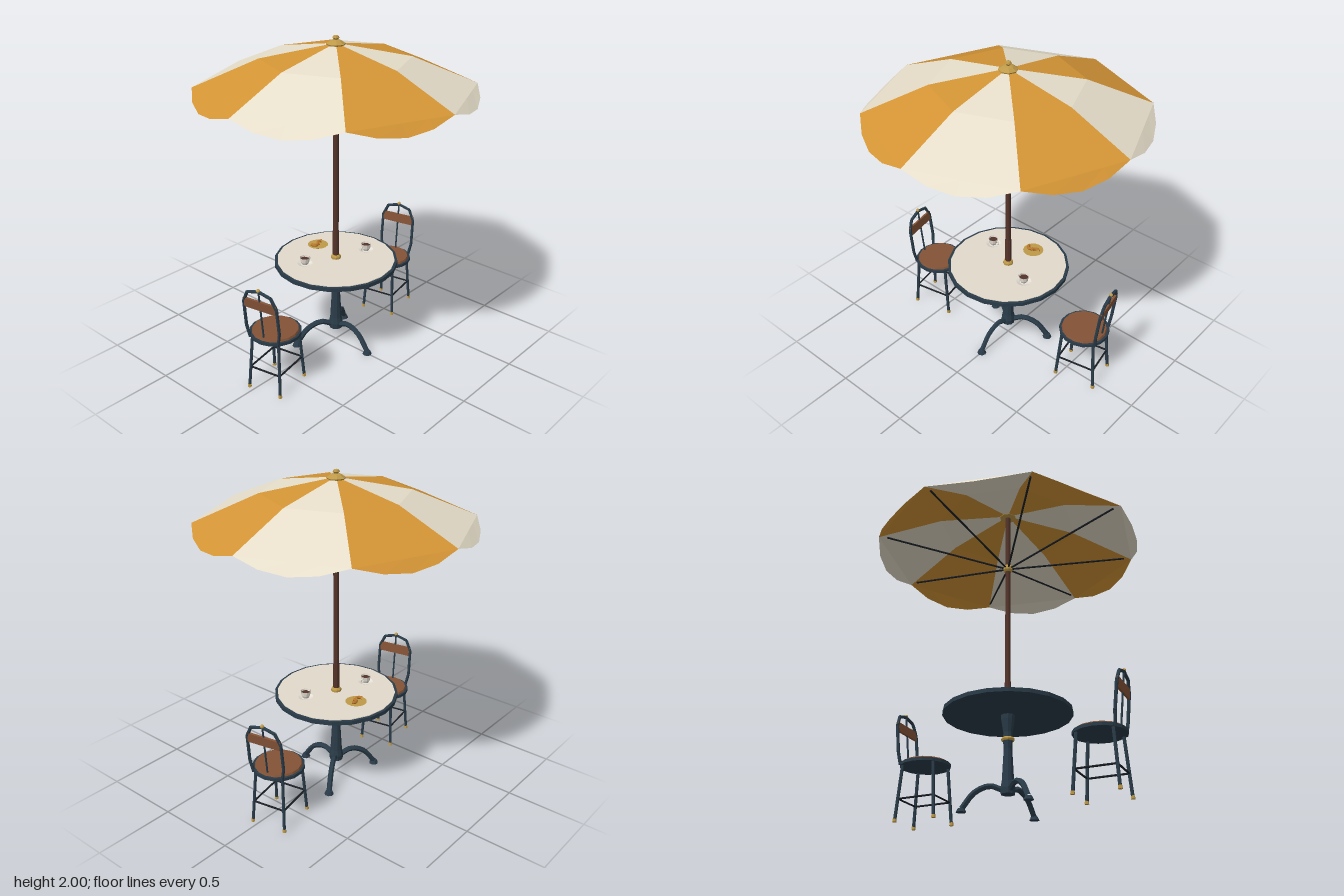
import * as THREE from 'three';

const mat = (name, color, side = THREE.FrontSide) => {
  const m = new THREE.MeshStandardMaterial({ color, side, flatShading: true });
  m.name = name;
  return m;
};
const V = (x, y, z) => new THREE.Vector3(x, y, z);

export function createModel() {
  const orange = mat('orange canvas', 0xd39435, THREE.DoubleSide);
  const cream = mat('cream canvas', 0xe6deca, THREE.DoubleSide);
  const iron = mat('blue iron', 0x2a3c49);
  const black = mat('dark steel', 0x1b2026);
  const mahogany = mat('dark wood', 0x55342a);
  const wood = mat('seat wood', 0x845336);
  const brass = mat('brass', 0xbf9a48);
  const stone = mat('table stone', 0xe2d9cb);
  const china = mat('china', 0xe6e0d6, THREE.DoubleSide);
  const pastryBrown = mat('pastry', 0xb9772c);

  const model = new THREE.Group();
  model.name = 'patioSet';

  // Helpers: named mesh, upright disc or cone, rod between points, bent tube, lathe
  const add = (parent, name, geo, material, x = 0, y = 0, z = 0) => {
    const m = new THREE.Mesh(geo, material);
    m.name = name;
    m.position.set(x, y, z);
    parent.add(m);
    return m;
  };
  const disc = (parent, name, material, rTop, rBottom, y0, y1, sides = 8, x = 0, z = 0) =>
    add(parent, name, new THREE.CylinderGeometry(rTop, rBottom, y1 - y0, sides), material, x, (y0 + y1) / 2, z);
  const rod = (parent, name, material, a, b, r, sides = 6) => {
    const d = b.clone().sub(a);
    const m = add(parent, name, new THREE.CylinderGeometry(r, r, d.length(), sides), material);
    m.position.copy(a).add(b).multiplyScalar(0.5);
    m.quaternion.setFromUnitVectors(V(0, 1, 0), d.normalize());
    return m;
  };
  const tube = (parent, name, material, pts, r, segs, sides = 6) =>
    add(parent, name, new THREE.TubeGeometry(new THREE.CatmullRomCurve3(pts), segs, r, sides), material);
  const lathe = (parent, name, material, pts, sides) =>
    add(parent, name, new THREE.LatheGeometry(pts.map(p => new THREE.Vector2(...p)), sides), material);

  // Canopy: eight panels, each with two slopes and a scalloped valance
  const umbrella = new THREE.Group();
  umbrella.name = 'umbrella';
  model.add(umbrella);
  const R = 0.822, edgeY = 1.71;
  const polar = (r, a, y) => V(r * Math.cos(a), y, r * Math.sin(a));
  for (let i = 0; i < 8; i++) {
    const a = i * Math.PI / 4, b = a + Math.PI / 4, pos = [];
    const tri = (...pts) => pts.forEach(p => pos.push(p.x, p.y, p.z));
    const quad = (p, q, r, s) => { tri(p, q, r); tri(p, r, s); };
    const midA = polar(0.437, a, 1.872), midB = polar(0.437, b, 1.872);
    const endA = polar(R, a, edgeY), endB = polar(R, b, edgeY);
    tri(V(0, 1.955, 0), midB, midA);
    quad(midA, midB, endB, endA);
    const hem = t => polar(R, a + t * Math.PI / 4, edgeY - 0.058 * Math.sin(Math.PI * t));
    for (let k = 0; k < 4; k++) {
      const t = k / 4, u = (k + 1) / 4;
      quad(endA.clone().lerp(endB, t), endA.clone().lerp(endB, u), hem(u), hem(t));
    }
    const g = new THREE.BufferGeometry();
    g.setAttribute('position', new THREE.Float32BufferAttribute(pos, 3));
    g.computeVertexNormals();
    add(umbrella, 'canopyPanel', g, i % 2 ? cream : orange);
    rod(umbrella, 'stay', black, polar(0.02, a, 1.56), polar(0.77, a, 1.712), 0.006);
  }

  // Pole, hub and finial
  disc(umbrella, 'pole', mahogany, 0.0175, 0.0175, 0.78, 1.95, 10);
  disc(umbrella, 'lowerPole', mahogany, 0.02, 0.02, 0.58, 0.78, 10);
  lathe(umbrella, 'hub', brass, [[0, 1.535], [0.022, 1.535], [0.03, 1.547], [0.03, 1.568], [0.022, 1.58], [0, 1.58]], 8);
  lathe(umbrella, 'finial', brass,
    [[0, 1.935], [0.052, 1.94], [0.057, 1.952], [0.03, 1.97], [0.012, 1.975], [0.02, 1.985], [0.015, 1.996], [0, 2]], 8);

  // Table: rimmed top, turned pedestal and three curved feet
  const table = new THREE.Group();
  table.name = 'table';
  model.add(table);
  disc(table, 'tableRim', iron, 0.385, 0.385, 0.567, 0.591, 20);
  disc(table, 'tableTop', stone, 0.368, 0.368, 0.585, 0.595, 20);
  lathe(table, 'poleCollar', brass, [[0.032, 0.594], [0.032, 0.608], [0.024, 0.62], [0, 0.62]], 8);
  lathe(table, 'pedestal', iron,
    [[0, 0.095], [0.042, 0.095], [0.045, 0.13], [0.037, 0.17], [0.026, 0.36], [0.03, 0.42],
      [0.028, 0.46], [0.041, 0.54], [0.043, 0.57]], 10);
  lathe(table, 'pedestalRing', brass,
    [[0.026, 0.41], [0.036, 0.41], [0.041, 0.42], [0.036, 0.43], [0.026, 0.43]], 10);
  for (let i = 0; i < 3; i++) {
    const leg = new THREE.Group();
    leg.name = 'pedestalLeg';
    leg.rotation.y = i * Math.PI * 2 / 3;
    table.add(leg);
    tube(leg, 'legBar', iron,
      [V(0, 0.115, 0.02), V(0, 0.147, 0.1), V(0, 0.112, 0.19), V(0, 0.02, 0.262)], 0.017, 8);
    disc(leg, 'footPad', iron, 0.02, 0.03, 0, 0.022, 8, 0, 0.265);
  }

  // Chair: the back is on the local +x side
  const makeChair = () => {
    const c = new THREE.Group();
    c.name = 'chair';
    disc(c, 'seatRing', iron, 0.155, 0.155, 0.345, 0.364, 16);
    disc(c, 'seatPad', wood, 0.136, 0.143, 0.36, 0.376, 16);
    const legAt = (sx, sz, y) => {
      const t = 1 - y / 0.35;
      return V(sx * (0.105 + 0.025 * t), y, sz * (0.092 + 0.018 * t));
    };
    const corners = [[1, 1], [1, -1], [-1, -1], [-1, 1]];
    corners.forEach(([sx, sz], i) => {
      rod(c, 'chairLeg', iron, legAt(sx, sz, 0.01), legAt(sx, sz, 0.352), 0.01);
      const f = legAt(sx, sz, 0);
      disc(c, 'footCap', brass, 0.011, 0.013, 0, 0.02, 6, f.x, f.z);
      rod(c, 'stretcher', black, legAt(sx, sz, 0.14), legAt(...corners[(i + 1) % 4], 0.14), 0.006);
    });
    // Back frame: straight bars with a pointed arch on top
    const backX = y => 0.118 + 0.036 * (y - 0.35) / 0.34;
    const outline = [[0.098, 0.35], [0.115, 0.43], [0.113, 0.6], [0.08, 0.67], [0, 0.692]]
      .map(([z, y]) => V(backX(y), y, z));
    for (const s of [1, -1]) {
      const pts = outline.map(p => V(p.x, p.y, p.z * s));
      for (let i = 0; i < 4; i++) rod(c, 'backFrame', iron, pts[i], pts[i + 1], 0.01);
    }
    rod(c, 'backSpindle', iron, V(backX(0.36), 0.36, 0), V(backX(0.69), 0.69, 0), 0.006);
    const rail = add(c, 'backRail', new THREE.BoxGeometry(0.014, 0.06, 0.226), wood, backX(0.595), 0.595, 0);
    rail.rotation.z = -0.105;
    add(c, 'backKnob', new THREE.SphereGeometry(0.012, 8, 6), brass, backX(0.7), 0.698, 0);
    return c;
  };
  for (const s of [1, -1]) {
    const chair = makeChair();
    chair.position.set(0.583 * s, 0, -0.045 * s);
    chair.rotation.y = 0.19 + (s < 0 ? Math.PI : 0);
    model.add(chair);
  }

  // Cups on saucers
  for (const s of [1, -1]) {
    const cup = new THREE.Group();
    cup.name = 'cupAndSaucer';
    cup.position.set(0.197 * s, 0.595, 0.08 * s);
    if (s > 0) cup.rotation.y = Math.PI;
    lathe(cup, 'saucer', china, [[0, 0.002], [0.026, 0.002], [0.047, 0.011]], 12);
    lathe(cup, 'cup', china, [[0, 0.006], [0.019, 0.006], [0.027, 0.022], [0.031, 0.05]], 10);
    disc(cup, 'coffee', mahogany, 0.028, 0.028, 0.036, 0.04, 10);
    add(cup, 'cupHandle', new THREE.TorusGeometry(0.012, 0.0035, 5, 10), china, 0.034, 0.03, 0);
    model.add(cup);
  }

  // Plate with two crescent pastries
  const plate = new THREE.Group();
  plate.name = 'pastryPlate';
  plate.position.set(0.045, 0.595, -0.195);
  disc(plate, 'plate', brass, 0.066, 0.048, 0.001, 0.011, 14);
  for (const s of [1, -1]) {
    const p = add(plate, 'pastry', new THREE.TorusGeometry(0.021, 0.01, 6, 8, Math.PI), pastryBrown,
      0.022 * s, 0.019, 0.008 * s);
    p.rotation.set(-Math.PI / 2, 0, s > 0 ? 0.5 : 2.8);
  }
  model.add(plate);

  return model;
}
